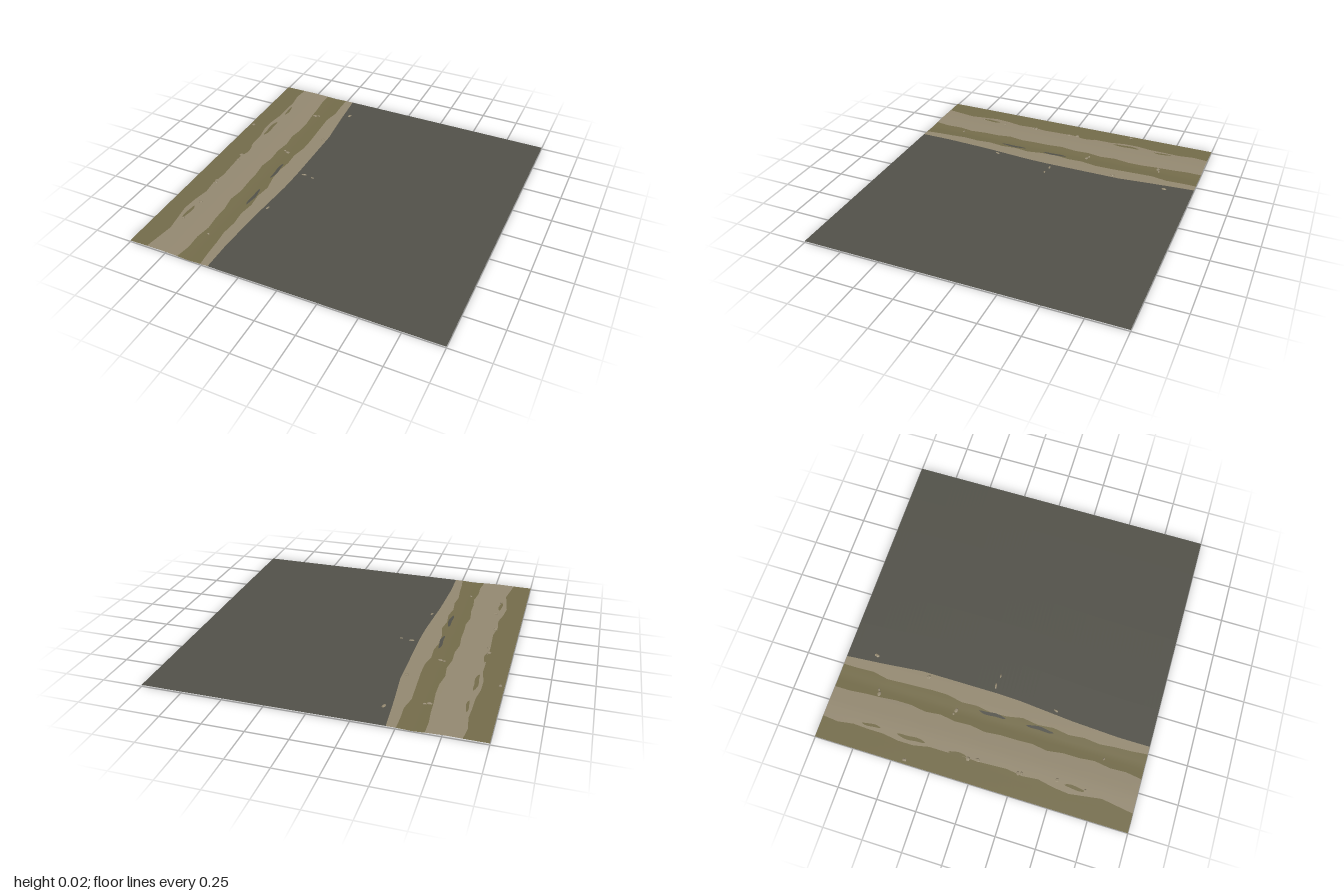
import * as THREE from 'three';

const flat = (name, color, side = THREE.DoubleSide) => {
  const m = new THREE.MeshStandardMaterial({ color, side });
  m.name = name;
  return m;
};

// Cross-section height of the ground, as [x, y] points
const section = [[-1, 0.012], [-0.88, 0.013], [-0.77, 0.015], [-0.66, 0.011],
  [-0.59, 0.007], [-0.52, 0.011], [-0.44, 0.012], [1, 0.012]];

// Straight interpolation through [t, value] points
function lerpAt(points, t) {
  for (let i = 1; i < points.length; i++) {
    const [t0, v0] = points[i - 1], [t1, v1] = points[i];
    if (t <= t1) return v0 + (v1 - v0) * (t - t0) / (t1 - t0);
  }
  return points[points.length - 1][1];
}
const groundY = x => lerpAt(section, x);

// Edges between the bands, as x at even steps of z from -1 to 1
const even = list => list.map((x, i) => [-1 + 2 * i / (list.length - 1), x]);
const outerEdge = even([-0.86, -0.87, -0.855, -0.86, -0.86, -0.875, -0.875, -0.855, -0.855, -0.85,
  -0.855, -0.85, -0.845, -0.86, -0.85, -0.87, -0.88, -0.865, -0.85, -0.865, -0.88]);
const trackEdge = even([-0.66, -0.66, -0.65, -0.645, -0.635, -0.635, -0.65, -0.64, -0.655, -0.65,
  -0.665, -0.655, -0.655, -0.65, -0.665, -0.65, -0.65, -0.64, -0.655, -0.65, -0.665]);
const vergeEdge = even([-0.505, -0.505, -0.5, -0.52, -0.515, -0.51, -0.505, -0.505, -0.525, -0.52,
  -0.535, -0.53, -0.51, -0.525, -0.515, -0.53, -0.52, -0.53, -0.52, -0.515, -0.505]);
const roadEdge = [[-1, -0.45], [-0.75, -0.43], [-0.5, -0.405], [0, -0.405],
  [0.15, -0.41], [0.5, -0.44], [0.8, -0.455], [1, -0.455]];

// Sheet between two edges, following the ground height
function band(left, right, z0 = -1, z1 = 1, cols = 6, rows = 80, lift = 0) {
  const pos = [], index = [];
  for (let r = 0; r <= rows; r++) {
    const z = z0 + (z1 - z0) * r / rows, a = left(z), b = right(z);
    for (let c = 0; c <= cols; c++) {
      const x = a + (b - a) * c / cols;
      pos.push(x, groundY(x) + lift, z);
      if (r < rows && c < cols) {
        const i = r * (cols + 1) + c, j = i + cols + 1;
        index.push(i, j, i + 1, i + 1, j, j + 1);
      }
    }
  }
  const g = new THREE.BufferGeometry();
  g.setAttribute('position', new THREE.Float32BufferAttribute(pos, 3));
  g.setIndex(index);
  g.computeVertexNormals();
  return g;
}

// Narrow ragged patch, tapered at both ends
function patch(x, z0, z1, width) {
  const half = z => {
    const t = (z - z0) / (z1 - z0);
    return width / 2 * Math.sqrt(Math.max(0.001, Math.sin(Math.PI * t)));
  };
  const sway = z => 0.003 * Math.sin(z * 45);
  return band(z => x + sway(z) - half(z), z => x + sway(z) + half(z), z0, z1, 2, 12, 0.0012);
}

export function createModel() {
  const group = new THREE.Group();
  const asphalt = flat('asphalt grey', 0x53524a);
  const dirt = flat('dry dirt', 0x958a72);
  const grass = flat('olive grass', 0x756d4b);
  const add = (name, geometry, material) => {
    const mesh = new THREE.Mesh(geometry, material);
    mesh.name = name;
    group.add(mesh);
    return mesh;
  };
  const along = edge => z => lerpAt(edge, z);

  // Ground bands from the outer side to the road
  add('outerGrass', band(() => -1, along(outerEdge)), grass);
  add('dirtTrack', band(along(outerEdge), along(trackEdge)), dirt);
  add('vergeGrass', band(along(trackEdge), along(vergeEdge)), grass);
  add('roadShoulder', band(along(vergeEdge), along(roadEdge)), dirt);
  add('road', band(along(roadEdge), () => 1), asphalt);

  // Tufts on the track and bare asphalt showing in the verge
  for (const [x, z0, z1, w] of [[-0.832, -0.75, -0.63, 0.018], [-0.838, -0.52, -0.33, 0.025],
    [-0.845, -0.18, -0.06, 0.018], [-0.835, 0.56, 0.69, 0.022]]) {
    add('grassTuft', patch(x, z0, z1, w), grass);
  }
  for (const [z0, z1] of [[-0.08, 0.1], [0.23, 0.41]]) {
    add('asphaltPatch', patch(-0.545, z0, z1, 0.022), asphalt);
  }

  // Flat pebbles scattered along the bands: x, z, length, width
  const pebble = new THREE.IcosahedronGeometry(0.5, 0);
  const stones = [[-0.625, -0.715, 0.035, 0.025], [-0.6, -0.725, 0.025, 0.015],
    [-0.39, -0.815, 0.022, 0.04], [-0.43, -0.45, 0.025, 0.035], [-0.975, -0.42, 0.022, 0.03],
    [-0.585, -0.215, 0.035, 0.025], [-0.61, -0.225, 0.02, 0.015], [-0.855, -0.05, 0.03, 0.03],
    [-0.845, 0.01, 0.025, 0.035], [-0.85, 0.27, 0.03, 0.02], [-0.845, 0.29, 0.025, 0.02],
    [-0.82, 0.51, 0.03, 0.025], [-0.83, 0.69, 0.018, 0.02], [-0.405, 0.385, 0.015, 0.035],
    [-0.36, -0.025, 0.04, 0.014], [-0.29, -0.015, 0.025, 0.012], [-0.61, 0.75, 0.02, 0.012]];
  stones.forEach(([x, z, l, w], i) => {
    const s = add('pebble', pebble, dirt);
    s.scale.set(l, i < 2 ? 0.014 : 0.011, w);
    s.position.set(x, groundY(x) + 0.001, z);
    s.rotation.y = 0.25 * Math.sin(i * 2.3);
  });
  return group;
}
